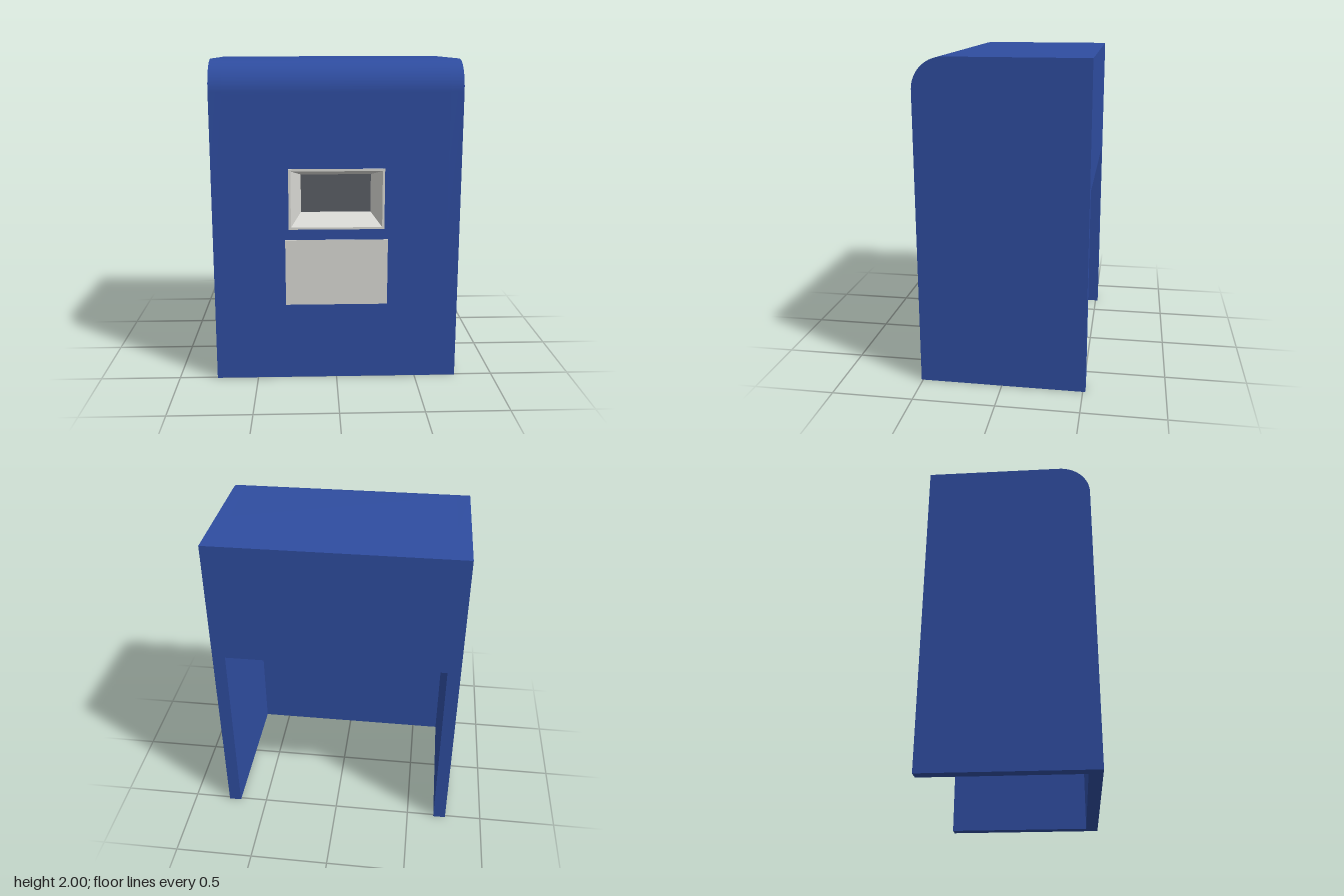
import * as THREE from 'three';
import { toCreasedNormals } from 'three/addons/utils/BufferGeometryUtils.js';

const W = 0.76, T = 0.08, H = 2, ZB = -0.515, ZF = 0.51, R = 0.19;
const CEILING = 1.77, LINTEL = 1.24;

function material(name, color) {
  const m = new THREE.MeshStandardMaterial({ color });
  m.name = name;
  return m;
}

// Side profile (z, y) with a rounded top front edge, extruded across x
function profileSlab(bottom, x0, x1) {
  const s = new THREE.Shape();
  s.moveTo(ZB, bottom);
  s.lineTo(ZF, bottom);
  s.lineTo(ZF, H - R);
  s.absarc(ZF - R, H - R, R, 0, Math.PI / 2, false);
  s.lineTo(ZB, H);
  s.closePath();
  const g = new THREE.ExtrudeGeometry(s, { depth: x1 - x0, bevelEnabled: false, curveSegments: 20 });
  g.rotateY(-Math.PI / 2);
  g.translate(x1, 0, 0);
  return toCreasedNormals(g, 0.5);
}

function rect(C, x, y0, y1) {
  const p = new C();
  p.moveTo(-x, y0);
  p.lineTo(x, y0);
  p.lineTo(x, y1);
  p.lineTo(-x, y1);
  p.closePath();
  return p;
}

// Joins rectangular loops [halfWidth, y0, y1, z] with flat faces
function rectLoft(loops) {
  const pos = [];
  const corners = ([x, y0, y1, z]) => [[-x, y0, z], [x, y0, z], [x, y1, z], [-x, y1, z]];
  for (let i = 0; i < loops.length - 1; i++) {
    const a = corners(loops[i]), b = corners(loops[i + 1]);
    for (let j = 0; j < 4; j++) {
      const k = (j + 1) % 4;
      for (const p of [a[j], a[k], b[k], a[j], b[k], b[j]]) pos.push(...p);
    }
  }
  const g = new THREE.BufferGeometry();
  g.setAttribute('position', new THREE.Float32BufferAttribute(pos, 3));
  g.computeVertexNormals();
  return g;
}

export function createModel() {
  const group = new THREE.Group();
  group.name = 'housing';
  const blue = material('blue casing', 0x2f4da0);
  const light = material('light grey trim', 0xd8d8d3);
  const dark = material('dark screen', 0x5a5d64);

  const add = (name, geometry, mat) => {
    const mesh = new THREE.Mesh(geometry, mat);
    mesh.name = name;
    group.add(mesh);
  };
  const box = (name, mat, x, y0, y1, z0, z1) => {
    const g = new THREE.BoxGeometry(2 * x, y1 - y0, z1 - z0);
    g.translate(0, (y0 + y1) / 2, (z0 + z1) / 2);
    add(name, g, mat);
  };

  // Hollow casing, open below and at the lower back
  add('leftWall', profileSlab(0, W - T, W), blue);
  add('rightWall', profileSlab(0, -W, -W + T), blue);
  add('roof', profileSlab(CEILING, -W + T, W - T), blue);
  box('backPanel', blue, W - T, LINTEL, CEILING, ZB, ZB + T);

  // Front wall with the screen opening
  const front = rect(THREE.Shape, W - T, 0, CEILING);
  front.holes.push(rect(THREE.Path, 0.288, 0.98, 1.343));
  const wall = new THREE.ExtrudeGeometry(front, { depth: T, bevelEnabled: false });
  wall.translate(0, 0, ZF - T);
  add('frontWall', wall, blue);

  // Tapered screen recess with a thin rim
  add('screenRecess', rectLoft([
    [0.294, 0.974, 1.35, ZF],
    [0.294, 0.974, 1.35, 0.514],
    [0.28, 0.987, 1.336, 0.514],
    [0.22, 1.05, 1.29, 0.355],
    [0.228, 1.042, 1.298, 0.347],
    [0.288, 0.98, 1.343, ZF - 0.002],
    [0.294, 0.974, 1.35, ZF],
  ]), light);
  box('screen', dark, 0.227, 1.043, 1.297, 0.346, 0.355);

  // Plate below the screen
  box('frontPlate', light, 0.317, 0.49, 0.908, ZF, 0.516);

  return group;
}
